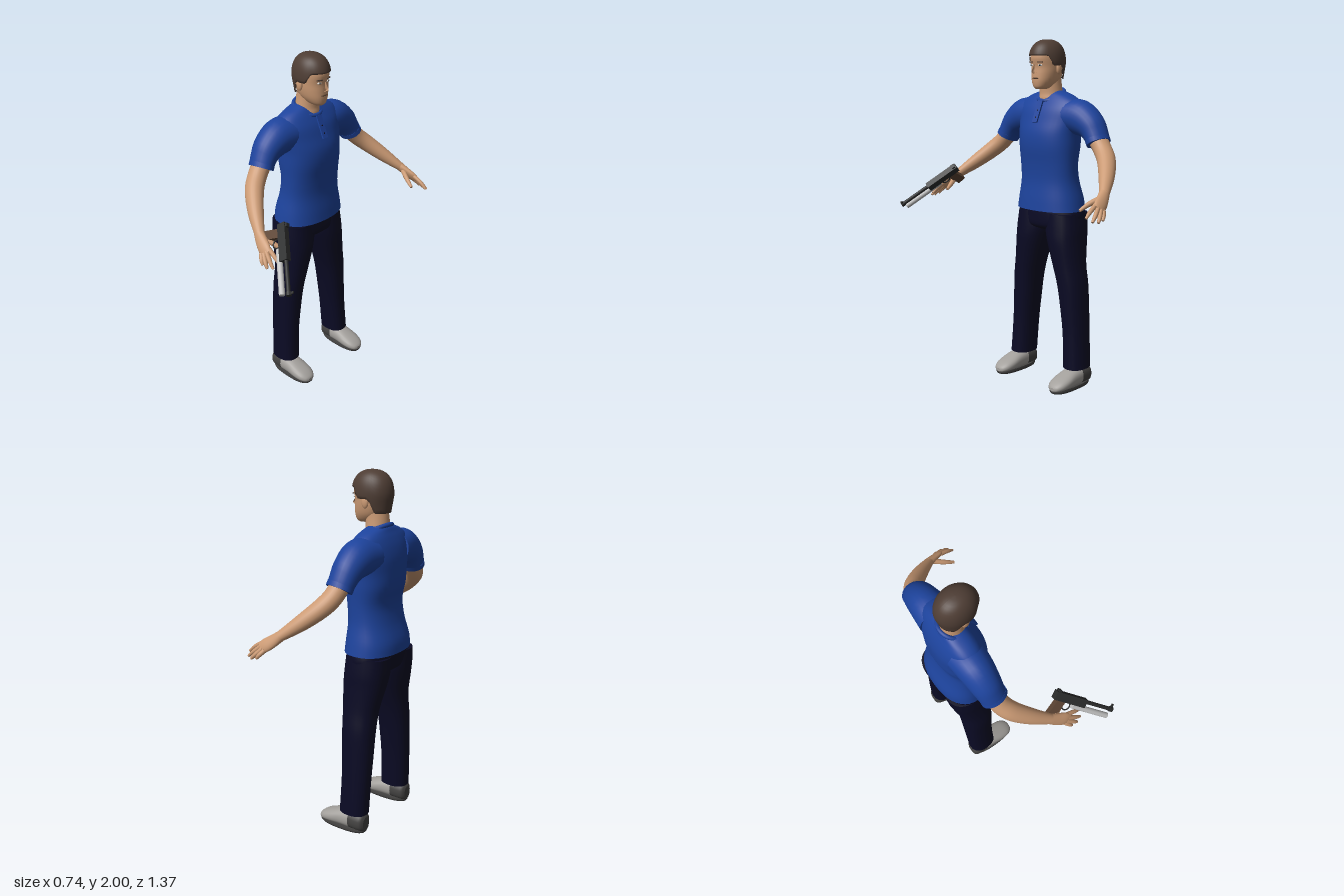
import * as THREE from 'three';

const mat = (name, color) => Object.assign(new THREE.MeshStandardMaterial({ color }), { name });
const V = (x, y, z) => new THREE.Vector3(x, y, z);
const X = V(1, 0, 0), Y = V(0, 1, 0), Z = V(0, 0, 1);

// Smooth skin through elliptical sections [x, y, z, ra, rb]; ra lies along ref
function loft(rows, { ref = X, axis = null, seg = 24, n = 2, sub = 4 } = {}) {
  const at = (i, k) => rows[Math.min(rows.length - 1, Math.max(0, i))][k];
  const pts = [];
  for (let i = 0; i < rows.length - 1; i++)
    for (let s = 0; s < sub || (i === rows.length - 2 && s === sub); s++) {
      const t = s / sub;
      pts.push([0, 1, 2, 3, 4].map(k => {
        const [p, q, r, w] = [at(i - 1, k), at(i, k), at(i + 1, k), at(i + 2, k)];
        return q + 0.5 * t * (r - p + t * (2 * p - 5 * q + 4 * r - w + t * (3 * (q - r) + w - p)));
      }));
    }
  const pos = [], idx = [], last = pts.length - 1;
  const centre = i => V(pts[i][0], pts[i][1], pts[i][2]);
  const ring = i => {
    const c = centre(i);
    const t = axis ? axis.clone() : centre(Math.min(last, i + 1)).sub(centre(Math.max(0, i - 1))).normalize();
    const a = ref.clone().addScaledVector(t, -ref.dot(t)).normalize();
    const b = t.clone().cross(a);
    const pw = v => Math.sign(v) * Math.abs(v) ** (2 / n);
    for (let j = 0; j < seg; j++) {
      const th = j / seg * Math.PI * 2;
      pos.push(...c.clone().addScaledVector(a, pw(Math.cos(th)) * pts[i][3])
        .addScaledVector(b, pw(Math.sin(th)) * pts[i][4]).toArray());
    }
  };
  for (let i = 0; i <= last; i++) ring(i);
  for (let i = 0; i < last; i++)
    for (let j = 0; j < seg; j++) {
      const k = (j + 1) % seg, a = i * seg;
      idx.push(a + j, a + k, a + seg + j, a + k, a + seg + k, a + seg + j);
    }
  // flat end caps with their own vertices
  for (const i of [0, last]) {
    const base = pos.length / 3;
    ring(i);
    pos.push(...centre(i).toArray());
    for (let j = 0; j < seg; j++) {
      const p = base + j, q = base + (j + 1) % seg;
      idx.push(base + seg, ...(i ? [p, q] : [q, p]));
    }
  }
  const g = new THREE.BufferGeometry();
  g.setAttribute('position', new THREE.Float32BufferAttribute(pos, 3));
  g.setIndex(idx);
  g.computeVertexNormals();
  return g;
}

// Horizontal sections given as [y, back x, front x, half width]
const slices = (rows, z = 0) => rows.map(([y, b, f, w]) => [(b + f) / 2, y, z, (f - b) / 2, w]);

// Cap of hair whose lower edge follows the hairline
function hairGeometry() {
  const g = new THREE.SphereGeometry(1, 40, 16), p = g.attributes.position, uv = g.attributes.uv;
  const ss = THREE.MathUtils.smoothstep;
  for (let i = 0; i < p.count; i++) {
    const th = uv.getX(i) * Math.PI * 2, t = 1 - uv.getY(i), c = -Math.cos(th);
    const edge = 1.78 + 0.075 * ss(c, -0.6, -0.2) + 0.055 * ss(c, 0.3, 0.65);
    const y = 2 - (2 - edge) * (1 - Math.cos(Math.min(1, t * 16 / 15) * Math.PI / 2));
    const h = Math.max(0, (y - 1.87) / 0.13);
    let r = Math.max(0, 1 - h ** 2.4) ** (1 / 2.4) * (1 - 1.5 * Math.max(0, 1.87 - y));
    if (t > 0.99) r *= 0.86;
    p.setXYZ(i, -0.173 + 0.119 * r * c, y, 0.095 * r * Math.sin(th));
  }
  g.computeVertexNormals();
  return g;
}

export function createModel() {
  const skin = mat('skin', 0xcb9a74), hair = mat('hair', 0x4e3d34), shirt = mat('shirt blue', 0x1d439c);
  const navy = mat('trouser navy', 0x0a0a24), shoe = mat('shoe grey', 0xa3a09c), sole = mat('sole grey', 0x444342);
  const black = mat('gun black', 0x2a2b2b), silver = mat('silver', 0xc0c0c0);
  const grip = mat('grip brown', 0x5c4433), white = mat('eye white', 0xe0dcd6);
  const model = new THREE.Group(), body = new THREE.Group();
  model.name = 'man'; body.name = 'body';
  body.position.z = -0.045;
  model.add(body);
  const add = (name, geo, m, parent = body, x = 0, y = 0, z = 0) => {
    const mesh = new THREE.Mesh(geo, m);
    mesh.name = name; mesh.position.set(x, y, z);
    parent.add(mesh);
    return mesh;
  };
  const flat = { axis: Y };

  // Shirt
  add('shirtBody', loft(slices([
    [1.035, -.365, -.065, .217], [1.1, -.36, -.07, .207], [1.2, -.33, -.08, .188], [1.3, -.315, -.075, .186],
    [1.4, -.335, -.062, .192], [1.48, -.338, -.065, .196], [1.55, -.335, -.085, .21], [1.61, -.322, -.105, .22],
    [1.655, -.305, -.13, .2], [1.685, -.29, -.15, .155], [1.705, -.28, -.165, .1], [1.715, -.27, -.175, .07]]),
    { axis: Y, n: 2.3, seg: 40 }), shirt);
  const collar = add('collar', new THREE.TorusGeometry(.078, .012, 8, 32).rotateX(Math.PI / 2), shirt, body, -.207, 1.69, 0);
  collar.rotation.z = -0.42;
  const placket = add('placket', new THREE.BoxGeometry(.009, .13, .036), shirt, body, -.096, 1.6, 0);
  placket.rotation.z = 0.4;
  for (const [x, y] of [[-.1, 1.605], [-.083, 1.565]])
    add('button', new THREE.SphereGeometry(.008, 10, 8), navy, body, x, y, 0);

  // Head and neck
  add('neck', loft(slices([[1.62, -.27, -.15, .07], [1.665, -.272, -.137, .07], [1.7, -.272, -.142, .067],
    [1.75, -.268, -.14, .062], [1.8, -.26, -.14, .06]]), flat), skin);
  add('head', loft(slices([[1.725, -.165, -.092, .026], [1.738, -.2, -.08, .045], [1.77, -.245, -.074, .065],
    [1.81, -.268, -.075, .076], [1.85, -.275, -.077, .08], [1.9, -.275, -.068, .08], [1.94, -.26, -.085, .075],
    [1.98, -.21, -.125, .035]]), { axis: Y, n: 2.2, seg: 32 }), skin);
  add('hair', hairGeometry(), hair);
  add('nose', loft([[-.079, 1.868, 0, .004, .007], [-.07, 1.84, 0, .011, .009], [-.063, 1.82, 0, .014, .014],
    [-.075, 1.808, 0, .006, .011]], { axis: Y, seg: 12 }), skin);
  add('mouth', new THREE.SphereGeometry(1, 12, 8).scale(.006, .004, .025), grip, body, -.076, 1.785, 0);
  for (const s of [1, -1]) {
    add('ear', new THREE.SphereGeometry(1, 14, 10).scale(.02, .032, .011), skin, body, -.18, 1.838, s * .084);
    const eye = new THREE.Group();
    eye.name = 'eye'; eye.position.set(-.081, 1.857, s * .032); eye.rotation.y = -s * .25;
    body.add(eye);
    add('eyeball', new THREE.SphereGeometry(1, 12, 8).scale(.006, .006, .014), white, eye);
    add('iris', new THREE.SphereGeometry(1, 10, 8).scale(.004, .0055, .006), black, eye, .003);
    add('eyebrow', new THREE.BoxGeometry(.009, .005, .034), hair, eye, .003, .017);
  }

  // Trouser hips
  add('hips', loft(slices([[.915, -.3, -.15, .13], [.94, -.335, -.105, .2], [1, -.352, -.1, .217],
    [1.06, -.355, -.105, .205]]), { axis: Y, n: 2.4, seg: 32 }), navy);

  for (const s of [1, -1]) {
    // Trouser leg: [y, back, front, inner, outer]
    add('trouserLeg', loft([[.11, -.295, -.125, .148, .284], [.3, -.302, -.13, .138, .272], [.45, -.306, -.126, .12, .264],
      [.6, -.308, -.118, .096, .256], [.72, -.312, -.108, .064, .238], [.85, -.338, -.096, .024, .227],
      [.93, -.35, -.098, .004, .224], [1.02, -.355, -.105, .002, .214]].map(([y, b, f, i, o]) =>
      [(b + f) / 2, y, s * (i + o) / 2, (f - b) / 2, (o - i) / 2]), { axis: Y, n: 2.3 }), navy);

    // Shoe: dark heel, light front, flat sole
    const w = s * .222, along = { axis: X, ref: Z, n: 2.3 };
    add('shoeHeel', loft([[-.295, .055, w, .03, .04], [-.28, .06, w, .05, .052], [-.24, .062, w, .055, .056],
      [-.2, .064, w, .055, .056]], along), sole);
    add('shoeFront', loft([[-.202, .064, w, .056, .056], [-.14, .06, w, .058, .05], [-.08, .05, w, .062, .04],
      [-.03, .04, w, .055, .03], [0, .032, w, .036, .019], [.01, .028, w, .015, .01]], along), shoe);
    add('shoeSole', loft([[-.144, 0, w, .145, .054], [-.142, .01, w, .151, .06], [-.142, .024, w, .15, .059]],
      { axis: Y, n: 2.5, seg: 32 }), sole);

    // Sleeve and cuff
    const side = rows => rows.map(([x, y, z, a, b]) => [x, y, s * z, a, b]);
    add('sleeve', loft(side([[-.222, 1.575, .12, .105, .095], [-.222, 1.568, .21, .096, .1],
      [-.22, 1.53, .285, .085, .083], [-.216, 1.485, .325, .077, .068], [-.21, 1.44, .352, .073, .06]])), shirt);
    add('cuff', loft(side([[-.212, 1.458, .342, .076, .063], [-.209, 1.435, .355, .076, .062]])), shirt);

    // Bare arm and hand
    add('arm', loft(side([[-.213, 1.47, .335, .055, .052], [-.2, 1.405, .39, .054, .05], [-.165, 1.35, .446, .053, .048],
      [-.085, 1.275, .513, .044, .04], [.01, 1.2, .575, .028, .024]])), skin);
    add('palm', loft(side([[0, 1.207, .57, .029, .025], [.04, 1.176, .589, .036, .021], [.075, 1.152, .603, .038, .018],
      [.1, 1.135, .612, .032, .013]])), skin);
    const fingers = [[[.1, 1.16, .595], [.15, 1.13, .6], [.185, 1.1, .602]],
      [[.095, 1.148, .608], [.14, 1.11, .625], [.17, 1.083, .632]],
      [[.085, 1.135, .617], [.12, 1.1, .638], [.14, 1.078, .646]],
      [[.07, 1.128, .62], [.09, 1.105, .638], [.105, 1.085, .646]],
      [[.03, 1.185, .572], [.09, 1.155, .54], [.14, 1.125, .522]]];
    fingers.forEach((f, i) => add(i < 4 ? 'finger' : 'thumb', loft(side(f.map((p, k) => {
      const r = [.0125, .0115, .007][k] * (i < 4 ? 1 : 1.2);
      return [...p, r, r];
    })), { seg: 10 }), skin));
  }

  // Pistol, built along its own x axis with y up
  const gun = new THREE.Group();
  gun.name = 'pistol';
  const fwd = V(.63, -.57, .53).normalize();
  const up = V(.78, .52, -.35).addScaledVector(fwd, -V(.78, .52, -.35).dot(fwd)).normalize();
  gun.quaternion.setFromRotationMatrix(new THREE.Matrix4().makeBasis(fwd, up, fwd.clone().cross(up)));
  gun.position.set(.095, 1.255, .445);
  model.add(gun);
  const bar = r => (len => new THREE.CylinderGeometry(r, r, len, 16).rotateZ(Math.PI / 2));
  add('receiver', new THREE.BoxGeometry(.21, .048, .034), black, gun, .1, 0, 0);
  add('rearSight', new THREE.BoxGeometry(.02, .014, .024), black, gun, .012, .028, 0);
  add('upperTube', bar(.011)(.2), black, gun, .295, .008, 0);
  add('muzzleRing', bar(.015)(.02), black, gun, .385, .008, 0);
  add('frontSight', new THREE.BoxGeometry(.012, .022, .008), black, gun, .385, .028, 0);
  add('barrel', bar(.016)(.25), silver, gun, .255, -.034, 0);
  add('triggerGuard', new THREE.TorusGeometry(.024, .004, 6, 20), black, gun, .095, -.045, 0);
  const handle = add('grip', new THREE.BoxGeometry(.05, .115, .032), grip, gun, .035, -.075, 0);
  handle.rotation.z = -0.2;
  return model;
}
